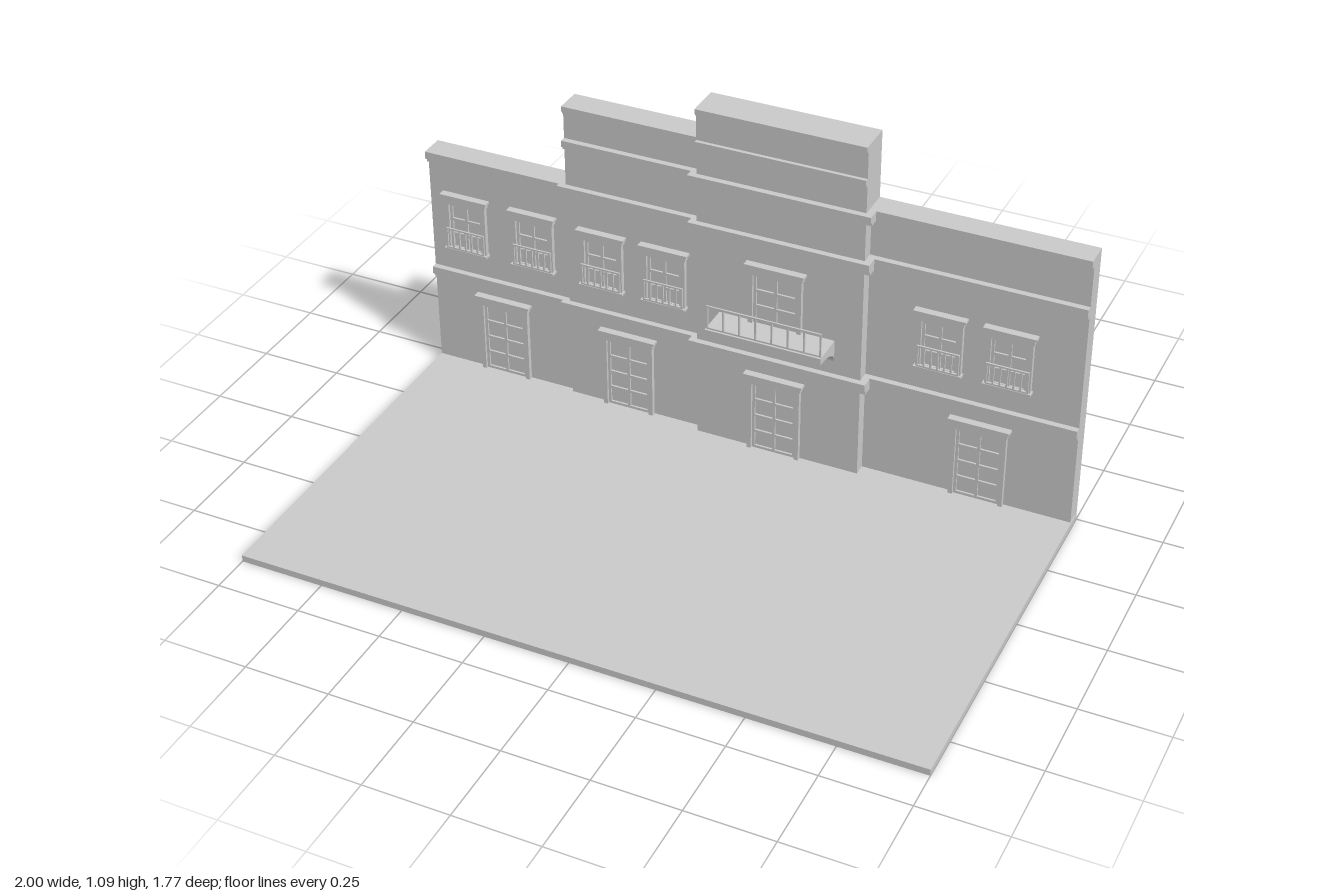
import * as THREE from 'three';

const material = new THREE.MeshStandardMaterial({ color: 0xcccccc, flatShading: true });
const BACK = -0.26;

// Box given by its min and max on each axis
function box(parent, name, x0, x1, y0, y1, z0, z1) {
  const mesh = new THREE.Mesh(new THREE.BoxGeometry(x1 - x0, y1 - y0, z1 - z0), material);
  mesh.position.set((x0 + x1) / 2, (y0 + y1) / 2, (z0 + z1) / 2);
  mesh.name = name;
  parent.add(mesh);
  return mesh;
}

function group(parent, name) {
  const g = new THREE.Group();
  g.name = name;
  parent.add(g);
  return g;
}

// Side outline given as [distance behind z = 0, height], extruded along x
function sideExtrude(parent, name, outline, hole, x0, x1) {
  const toPoints = (list) => list.map(([u, y]) => new THREE.Vector2(u, y));
  const shape = new THREE.Shape(toPoints(outline));
  if (hole) shape.holes.push(new THREE.Path(toPoints(hole)));
  const geometry = new THREE.ExtrudeGeometry(shape, { depth: x1 - x0, bevelEnabled: false });
  geometry.rotateY(Math.PI / 2);
  const mesh = new THREE.Mesh(geometry, material);
  mesh.position.x = x0;
  mesh.name = name;
  parent.add(mesh);
}

// Stepped moulding with its top at y
function cornice(parent, x0, x1, y, z, out, height) {
  const g = group(parent, 'cornice');
  box(g, 'corniceCap', x0, x1, y - height * 0.65, y, z - 0.02, z + out);
  box(g, 'corniceStep', x0, x1, y - height, y - height * 0.65, z - 0.02, z + out * 0.55);
}

// Framed opening with glazing bars, used for doors and windows
function opening(parent, name, cx, y0, y1, z, half, rows) {
  const g = group(parent, name);
  const top = y1 - 0.022;
  for (const s of [-1, 1]) {
    const a = cx + s * half, b = cx + s * (half - 0.013);
    box(g, 'jamb', Math.min(a, b), Math.max(a, b), y0, top, z - 0.01, z + 0.014);
  }
  box(g, 'head', cx - half, cx + half, top - 0.012, top, z - 0.01, z + 0.014);
  box(g, 'lintel', cx - half - 0.004, cx + half + 0.004, top, y1 - 0.008, z - 0.01, z + 0.018);
  box(g, 'lintelCap', cx - half - 0.01, cx + half + 0.01, y1 - 0.008, y1, z - 0.01, z + 0.023);
  // Sash stiles and glazing bars
  const inner = half - 0.013;
  for (const x of [-inner + 0.004, 0, inner - 0.004]) {
    box(g, 'glazingBar', cx + x - 0.004, cx + x + 0.004, y0, top, z - 0.01, z + 0.006);
  }
  for (let i = 0; i <= rows; i++) {
    const y = y0 + 0.004 + ((top - 0.016 - y0 - 0.004) * i) / rows;
    box(g, 'glazingRail', cx - inner, cx + inner, y - 0.004, y + 0.004, z - 0.01, z + 0.006);
  }
  return g;
}

// Upright bars between two rails
function railing(parent, x0, x1, y0, y1, z, count, t) {
  const g = group(parent, 'railing');
  box(g, 'topRail', x0, x1, y1 - t, y1, z - t / 2, z + t / 2);
  box(g, 'bottomRail', x0, x1, y0, y0 + t, z - t / 2, z + t / 2);
  for (let i = 0; i < count; i++) {
    const x = x0 + ((x1 - x0 - t) * i) / (count - 1);
    box(g, 'baluster', x, x + t, y0, y1, z - t / 2, z + t / 2);
  }
}

export function createModel() {
  const model = new THREE.Group();
  model.name = 'facadeSet';

  box(model, 'ground', -1, 1, 0, 0.02, BACK + 0.02, 0.885);

  // Wall bays; cornices are [top height, left overhang, right overhang, height]
  const bays = [
    { x0: -1, x1: -0.545, top: 0.73, z: -0.203, door: -0.77, windows: [-0.882, -0.662],
      cornices: [[0.34, 0, 0, 0.036], [0.73, 0, 0, 0.036]] },
    { x0: -0.545, x1: -0.125, top: 0.985, z: -0.19, door: -0.355, windows: [-0.433, -0.235],
      cornices: [[0.34, 0.02, 0, 0.036], [0.73, 0.02, 0, 0.036], [0.88, 0, 0, 0.03], [0.985, 0, 0, 0.025]] },
    { x0: -0.125, x1: 0.375, top: 1.085, z: -0.165, door: 0.118, windows: [],
      cornices: [[0.34, 0.02, 0.02, 0.036], [0.73, 0.02, 0.02, 0.036], [0.88, 0.02, 0.02, 0.03],
        [0.985, 0, 0, 0.025], [1.085, 0, 0, 0.022]] },
    { x0: 0.375, x1: 0.997, top: 0.88, z: -0.203, door: 0.72, windows: [0.59, 0.79],
      cornices: [[0.34, 0, 0, 0.036], [0.73, 0, 0, 0.036], [0.88, 0, 0, 0.03]] },
  ];
  for (const bay of bays) {
    const g = group(model, 'facadeBay');
    box(g, 'wall', bay.x0, bay.x1, 0, bay.top, BACK, bay.z);
    for (const [y, left, right, height] of bay.cornices) {
      cornice(g, bay.x0 - left, bay.x1 + right, y, bay.z, y > 0.9 ? 0.011 : 0.018, height);
    }
    opening(g, 'door', bay.door, 0.02, 0.278, bay.z, 0.08, 4);
    for (const x of bay.windows) {
      const w = opening(g, 'window', x, 0.415, 0.602, bay.z, 0.066, 3);
      box(w, 'sill', x - 0.07, x + 0.07, 0.415, 0.422, bay.z - 0.01, bay.z + 0.022);
      railing(w, x - 0.062, x + 0.062, 0.422, 0.49, bay.z + 0.018, 7, 0.005);
    }
  }

  // Balcony with a coved underside, its door and front railing
  const balcony = group(model, 'balcony');
  opening(balcony, 'balconyDoor', 0.118, 0.45, 0.643, -0.165, 0.08, 3);
  const cove = [];
  for (let i = 0; i <= 8; i++) {
    const a = (i / 8) * Math.PI / 2;
    cove.push([0.075 + 0.09 * Math.sin(a), 0.383 + 0.045 * Math.cos(a)]);
  }
  sideExtrude(balcony, 'balconySlab',
    [[0.18, 0.383], [0.18, 0.45], [0.065, 0.45], [0.065, 0.428], ...cove], null, -0.055, 0.295);
  railing(balcony, -0.053, 0.293, 0.45, 0.525, -0.074, 8, 0.005);

  // Triangular braces behind the wall
  for (const [x0, x1] of [[-0.675, -0.57], [0.6, 0.7]]) {
    sideExtrude(model, 'rearBrace',
      [[0.258, 0.015], [0.885, 0.015], [0.885, 0.057], [0.8, 0.057], [0.3, 0.585], [0.29, 0.592], [0.258, 0.592]],
      [[0.297, 0.057], [0.297, 0.535], [0.74, 0.057]], x0, x1);
  }
  return model;
}
